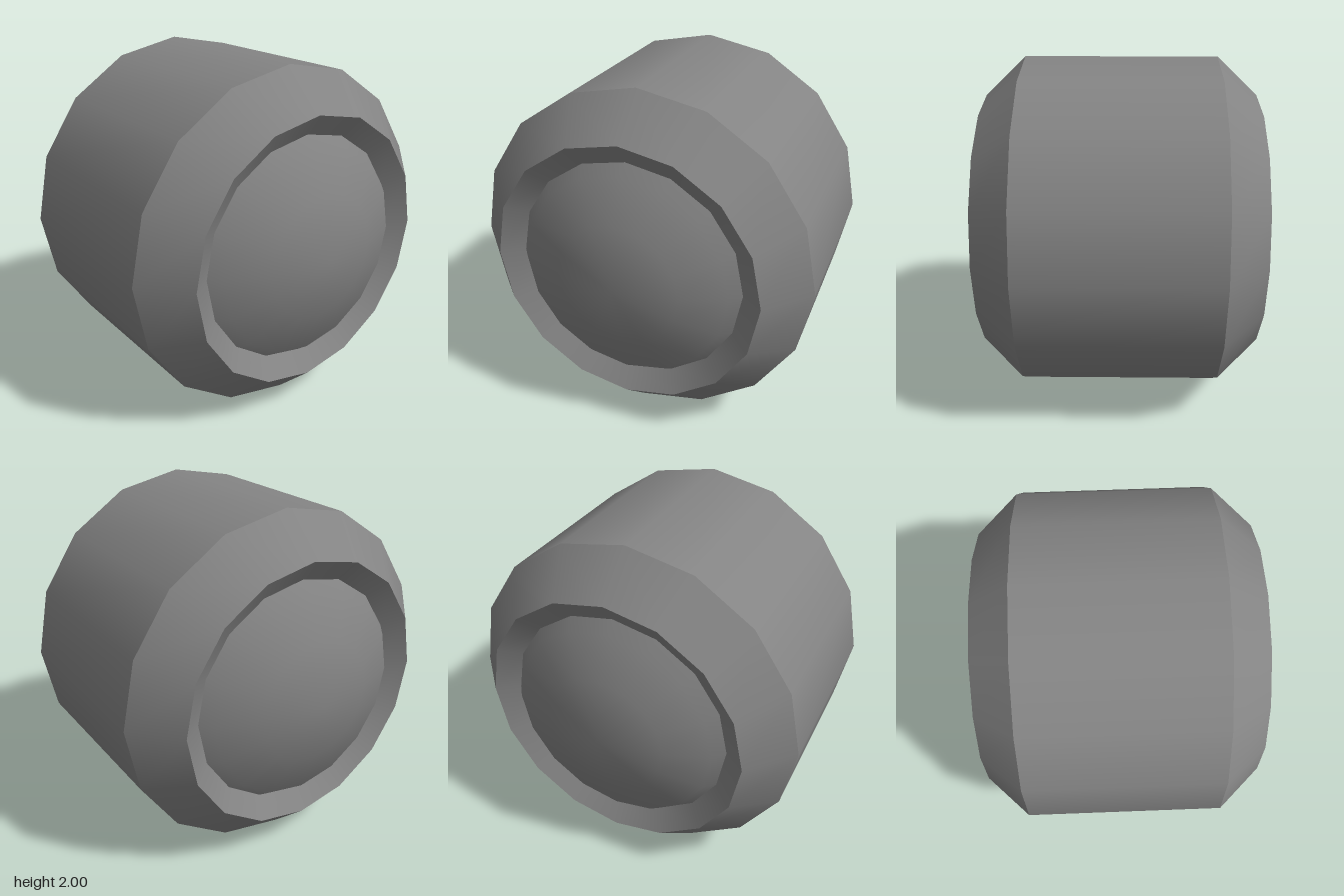
import * as THREE from 'three';

const SIDES = 16;
const material = new THREE.MeshStandardMaterial({ color: 0x848484 });

// One smooth band turned around the axis; separate bands keep crisp edges between them
function band(name, profile) {
  const points = profile.map(([r, h]) => new THREE.Vector2(r, h));
  const mesh = new THREE.Mesh(new THREE.LatheGeometry(points, SIDES), material);
  mesh.name = name;
  return mesh;
}

// Domed cap, shaded as an even curve that is smooth across its tip
function createDome() {
  const dome = band('dome', [[0.655, 0.71], [0.6, 0.78], [0.355, 0.868], [0, 0.935]]);
  const { position, normal } = dome.geometry.attributes;
  const n = new THREE.Vector3();
  for (let i = 0; i < position.count; i++) {
    n.set(position.getX(i), 1, position.getZ(i)).normalize();
    normal.setXYZ(i, n.x, n.y, n.z);
  }
  return dome;
}

// Chamfer, sunken lip and dome closing one end of the drum
function createEnd(name) {
  const end = new THREE.Group();
  end.name = name;
  end.add(
    band('chamfer', [[1, 0.556], [0.775, 0.795]]),
    band('innerLip', [[0.775, 0.795], [0.655, 0.71]]),
    createDome()
  );
  return end;
}

export function createModel() {
  const model = new THREE.Group();
  model.name = 'drum';

  // Drum wall, axis along z
  const wall = band('drumWall', [[1, -0.556], [1, 0.556]]);
  wall.rotation.x = Math.PI / 2;

  // Matching ends at front and back
  const front = createEnd('frontEnd');
  front.rotation.x = Math.PI / 2;
  const back = createEnd('backEnd');
  back.rotation.x = -Math.PI / 2;

  model.add(wall, front, back);
  model.position.y = 1;
  return model;
}
